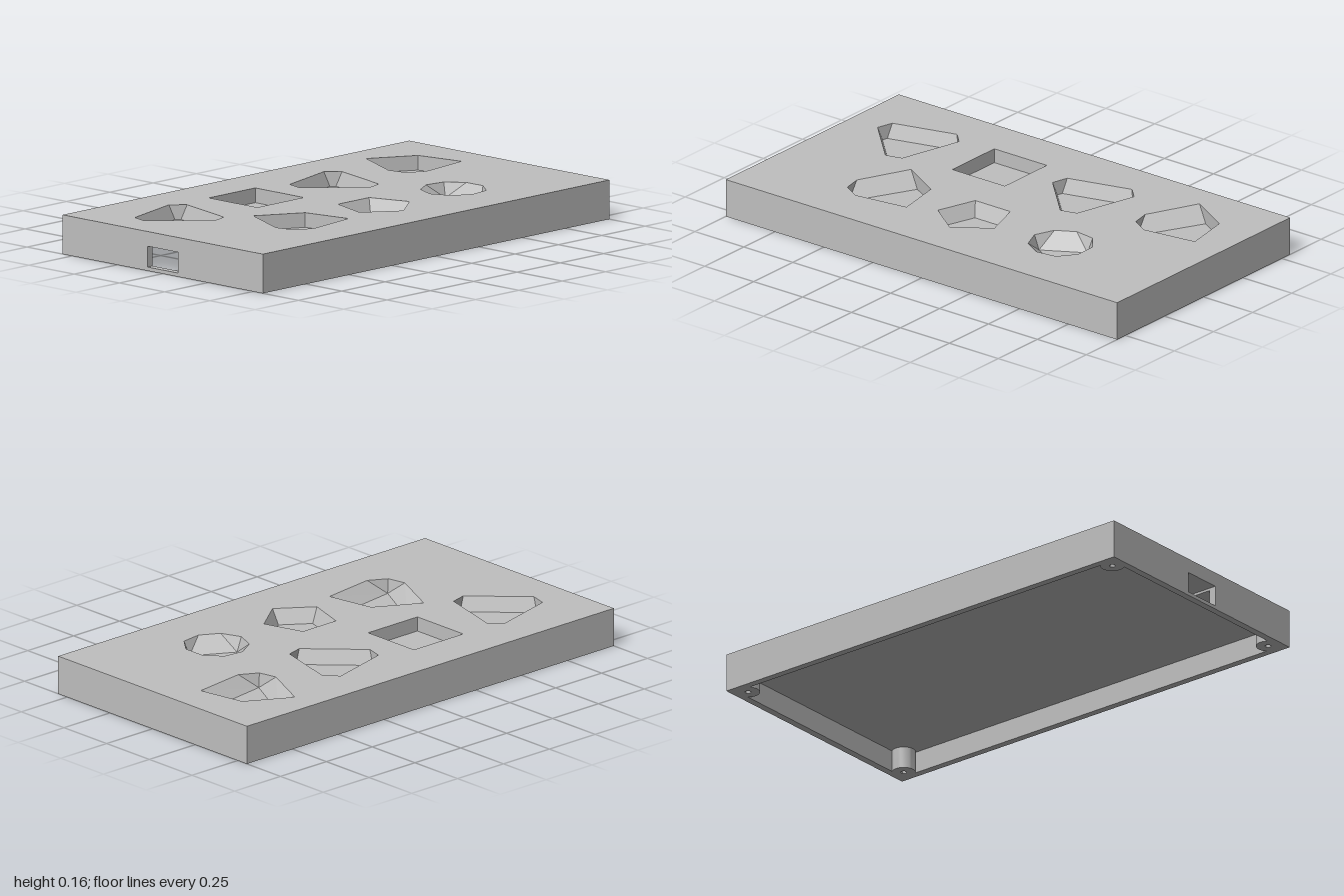
import * as THREE from 'three';
import { toCreasedNormals } from 'three/addons/utils/BufferGeometryUtils.js';

// Plan coordinates are (x, -z), as seen from above.
const W = 1, D = 0.553, TOP = 0.16, FLOOR = 0.10, CEILING = 0.09, SILL = 0.015;
const WALL = 0.03, PORT = 0.085, NOTCH_X = -0.855;

const polar = (r, deg) => {
  const a = THREE.MathUtils.degToRad(deg);
  return new THREE.Vector2(r * Math.cos(a), r * Math.sin(a));
};
const toVectors = (list) => list.map(([x, y]) => new THREE.Vector2(x, y));
const regular = (n, r, start) => Array.from({ length: n }, (_, i) => polar(r, start + (360 * i) / n));
const rectangle = (w, d) => toVectors([[-w, -d], [w, -d], [w, d], [-w, d]]);

// Each pocket has a rim, a floor, and a map from each rim corner to a floor corner.
function squarePocket() {
  const rim = rectangle(0.134, 0.134);
  return { rim, floor: rim, map: [0, 1, 2, 3] };
}

function pentagonPocket() {
  return { rim: regular(5, 0.152, -90), floor: regular(5, 0.117, -90), map: [0, 1, 2, 3, 4] };
}

// Lower slice of an octahedron lying on a face
function octahedronPocket() {
  const r = 0.205, f = 0.205, rim = [], floor = regular(3, r, 45);
  floor.forEach((corner, i) => {
    for (const side of [-60, 60]) rim.push(corner.clone().lerp(polar(r, 45 + 120 * i + side), f));
  });
  return { rim, floor, map: [0, 0, 1, 1, 2, 2] };
}

// Lower slice of an icosahedron lying on a face
function icosahedronPocket() {
  const edge = 0.195, r = 0.577 * edge, R = 0.934 * edge, rim = [], floor = regular(3, r, 60);
  floor.forEach((corner, i) => {
    const a = 60 + 120 * i;
    for (const [side, f] of [[-60, 0.533], [0, 0.33], [60, 0.533]]) {
      rim.push(corner.clone().lerp(polar(R, a + side), f));
    }
  });
  return { rim, floor, map: [0, 0, 0, 1, 1, 1, 2, 2, 2] };
}

// Lower slice of a ten-sided kite solid lying on a face
function kitePocket() {
  return {
    rim: toVectors([[-0.04, 0.21], [-0.142, -0.01], [-0.126, -0.09], [-0.051, -0.133], [0.184, -0.1], [0.147, 0.103]]),
    floor: toVectors([[0.019, 0.178], [-0.12, -0.087], [0.174, -0.042], [0.147, 0.103]]),
    map: [0, 1, 1, 1, 2, 3],
  };
}

// Sloping facets between a pocket's rim and floor
function facetGeometry({ rim, floor, map }) {
  const pos = [];
  const add = (p, y) => pos.push(p.x, y, -p.y);
  rim.forEach((a, i) => {
    const j = (i + 1) % rim.length, b = rim[j], c = floor[map[j]], d = floor[map[i]];
    add(a, TOP); add(b, TOP); add(d, FLOOR);
    if (map[i] !== map[j]) { add(b, TOP); add(c, FLOOR); add(d, FLOOR); }
  });
  const geo = new THREE.BufferGeometry();
  geo.setAttribute('position', new THREE.Float32BufferAttribute(pos, 3));
  geo.computeVertexNormals();
  return geo;
}

// Horizontal layer between two heights
function layer(points, y0, y1, holes = []) {
  const shape = new THREE.Shape(points);
  shape.holes = holes.map((h) => new THREE.Path(h));
  const geo = new THREE.ExtrudeGeometry(shape, { depth: y1 - y0, bevelEnabled: false });
  return geo.rotateX(-Math.PI / 2).translate(0, y0, 0);
}

export function createModel() {
  const model = new THREE.Group();
  model.name = 'diceTray';
  const grey = new THREE.MeshStandardMaterial({ color: 0xbfbfbf });
  grey.name = 'plainGrey';
  const add = (name, geo) => {
    const mesh = new THREE.Mesh(geo, grey);
    mesh.name = name;
    model.add(mesh);
    return mesh;
  };

  // Two rows of pockets
  const pockets = [
    ['octahedronPocketA', octahedronPocket(), -0.67, 0.226],
    ['squarePocket', squarePocket(), -0.224, 0.226],
    ['octahedronPocketB', octahedronPocket(), 0.224, 0.226],
    ['kitePocketA', kitePocket(), 0.67, 0.226],
    ['kitePocketB', kitePocket(), -0.447, -0.22],
    ['pentagonPocket', pentagonPocket(), 0, -0.22],
    ['icosahedronPocket', icosahedronPocket(), 0.447, -0.22],
  ];
  const holes = pockets.map(([name, pocket, x, y]) => {
    if (name !== 'squarePocket') add(name, facetGeometry(pocket)).position.set(x, 0, -y);
    return pocket.rim.map((p) => new THREE.Vector2(p.x + x, p.y + y));
  });

  // Top deck, and the thin plate that closes the pockets and is notched at the port
  add('topDeck', layer(rectangle(W, D), FLOOR, TOP, holes));
  const outside = [[-W, -PORT], [-W, -D], [W, -D], [W, D], [-W, D], [-W, PORT]];
  add('pocketFloorPlate', layer(toVectors([...outside, [NOTCH_X, PORT], [NOTCH_X, -PORT]]), CEILING, FLOOR));

  // Side walls with the port opening, above a closed bottom rim
  const w = W - WALL, d = D - WALL;
  const inside = [[-w, PORT], [-w, d], [w, d], [w, -d], [-w, -d], [-w, -PORT]];
  add('sideWalls', layer(toVectors([...outside, ...inside]), SILL, CEILING));
  add('bottomRim', layer(rectangle(W, D), 0, SILL, [rectangle(w, d)]));

  // Screw posts in the corners
  const profile = toVectors([[0.012, CEILING], [0.012, 0], [0.048, 0], [0.048, CEILING]]);
  const post = toCreasedNormals(new THREE.LatheGeometry(profile, 32), 0.6);
  for (const x of [-0.94, 0.94]) {
    for (const z of [-0.49, 0.49]) add('screwPost', post).position.set(x, 0, z);
  }
  return model;
}
